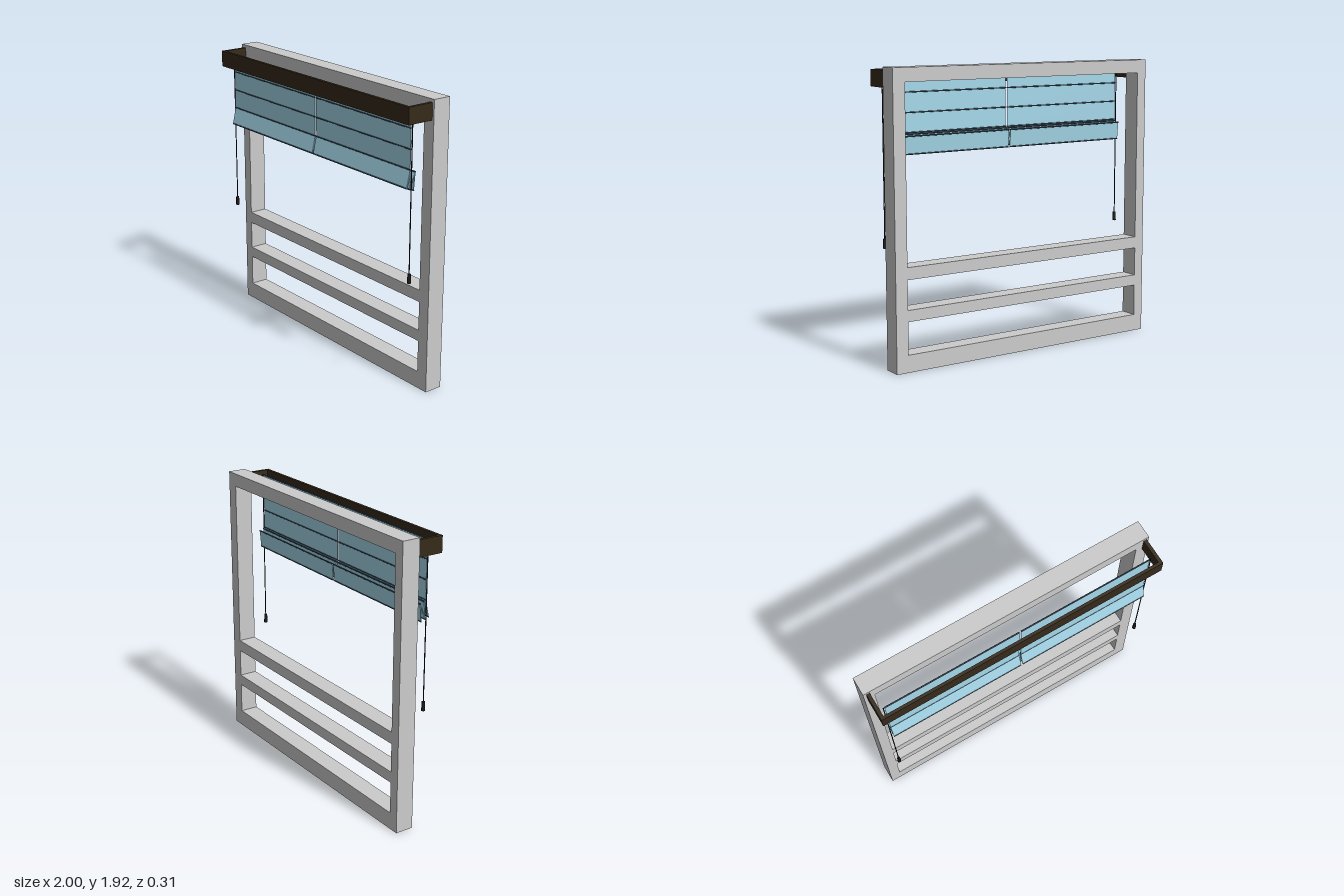
import * as THREE from 'three';

const mat = (color) => new THREE.MeshStandardMaterial({ color });

export function createModel() {
  const model = new THREE.Group();
  const grey = mat(0xcccccc), wood = mat(0x362a1a), fabric = mat(0xa5d8ea);
  const rodMat = mat(0x34485a), black = mat(0x1a1a1a);

  const add = (parent, name, geometry, material, x = 0, y = 0, z = 0) => {
    const mesh = new THREE.Mesh(geometry, material);
    mesh.name = name;
    mesh.position.set(x, y, z);
    parent.add(mesh);
    return mesh;
  };
  const group = (name) => {
    const g = new THREE.Group();
    g.name = name;
    model.add(g);
    return g;
  };
  // Box given by its minimum and maximum corners
  const box = (parent, name, material, [x0, y0, z0], [x1, y1, z1]) =>
    add(parent, name, new THREE.BoxGeometry(x1 - x0, y1 - y0, z1 - z0), material,
      (x0 + x1) / 2, (y0 + y1) / 2, (z0 + z1) / 2);
  const rect = (Path, x0, y0, x1, y1) => new Path([
    new THREE.Vector2(x0, y0), new THREE.Vector2(x1, y0),
    new THREE.Vector2(x1, y1), new THREE.Vector2(x0, y1)]);

  // Window frame: one slab with three openings
  const outline = rect(THREE.Shape, -1, 0, 1, 1.925);
  for (const [y0, y1] of [[0.115, 0.33], [0.405, 0.6], [0.68, 1.835]])
    outline.holes.push(rect(THREE.Path, -0.93, y0, 0.915, y1));
  add(model, 'windowFrame',
    new THREE.ExtrudeGeometry(outline, { depth: 0.125, bevelEnabled: false }), grey, 0, 0, -0.155);

  // Valance: front board with two side returns, open above and below
  const valance = group('valance');
  box(valance, 'valanceFront', wood, [-0.98, 1.795, 0.135], [0.985, 1.904, 0.155]);
  box(valance, 'valanceRight', wood, [-0.98, 1.795, -0.03], [-0.957, 1.904, 0.135]);
  box(valance, 'valanceLeft', wood, [0.962, 1.795, -0.03], [0.985, 1.904, 0.135]);

  // Fold line of the blinds as [z, y], hanging straight and then gathered
  const folds = [[0.086, 1.88], [0.086, 1.755], [0.086, 1.625], [0.086, 1.497], [0.112, 1.383],
    [0.075, 1.487], [0.085, 1.372], [0.045, 1.477], [0.055, 1.362]];
  for (const [side, x0, x1] of [['right', -0.925, 0], ['left', 0.012, 0.932]]) {
    const blind = group(side + 'Blind');
    const width = x1 - x0, cx = (x0 + x1) / 2;
    folds.forEach(([z, y], i) => {
      // Stiffening rod on each fold
      const rod = add(blind, 'foldRod', new THREE.CylinderGeometry(0.005, 0.005, width, 8), rodMat, cx, y, z);
      rod.rotation.z = Math.PI / 2;
      if (i === folds.length - 1) return;
      // Fabric panel down to the next fold
      const [z2, y2] = folds[i + 1];
      const panel = add(blind, 'fabricPanel',
        new THREE.BoxGeometry(width, Math.hypot(z2 - z, y2 - y), 0.004), fabric,
        cx, (y + y2) / 2, (z + z2) / 2);
      panel.rotation.x = Math.atan2(z2 - z, y2 - y);
    });
  }

  // Pull cords with weights
  for (const [side, x] of [['right', -0.933], ['left', 0.942]]) {
    const cord = group(side + 'PullCord');
    add(cord, 'cord', new THREE.CylinderGeometry(0.0035, 0.0035, 1.06, 8), black, x, 1.35, 0.085);
    add(cord, 'cordWeight', new THREE.CylinderGeometry(0.0105, 0.0125, 0.062, 12), black, x, 0.797, 0.085);
  }
  return model;
}
